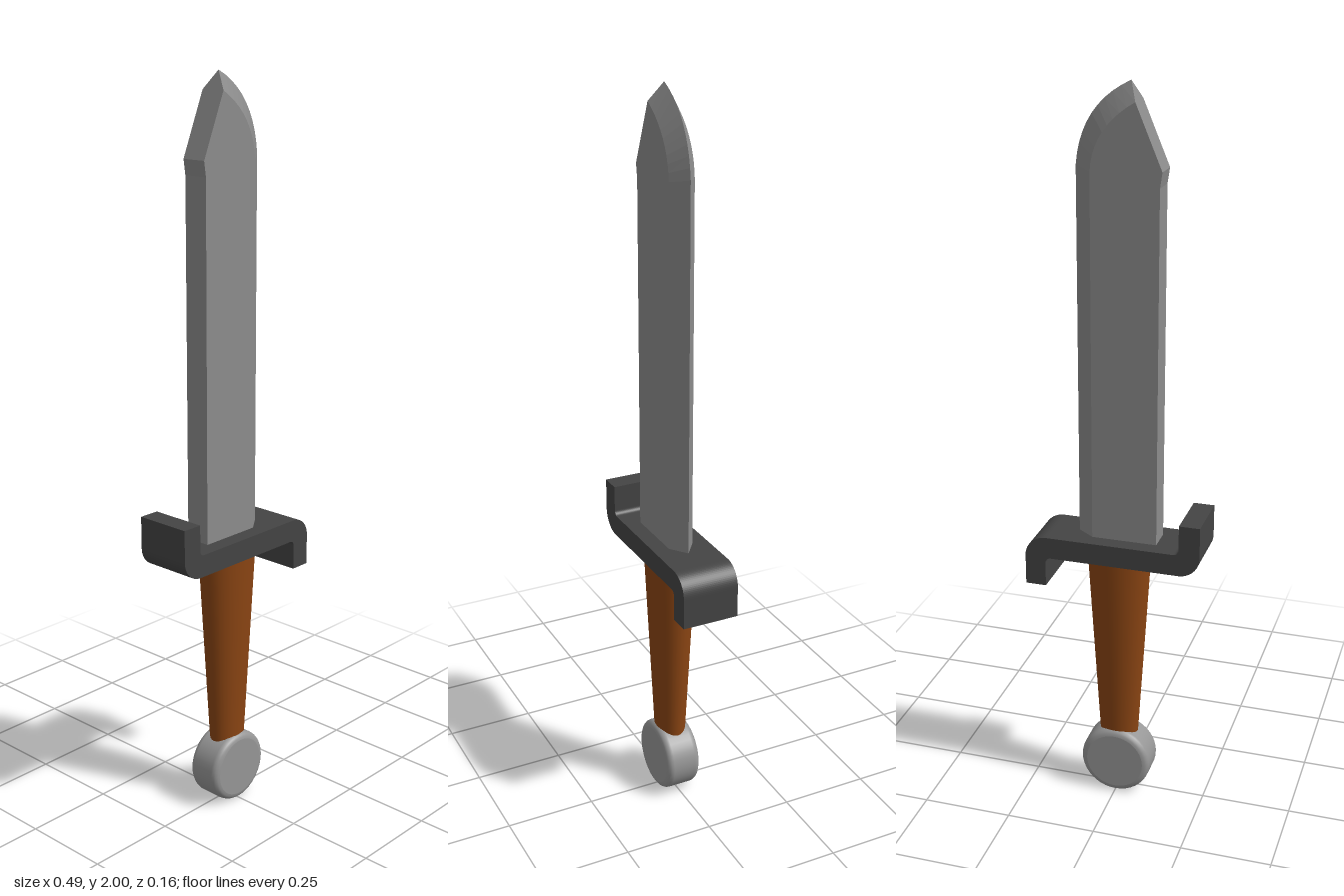
import * as THREE from 'three';

const steel = new THREE.MeshStandardMaterial({ color: 0x8c8c8c });
steel.name = 'steel';
const pommelSteel = new THREE.MeshStandardMaterial({ color: 0x969696 });
pommelSteel.name = 'pommel steel';
const darkIron = new THREE.MeshStandardMaterial({ color: 0x444444 });
darkIron.name = 'dark iron';
const wood = new THREE.MeshStandardMaterial({ color: 0x8b4513 });
wood.name = 'brown grip';

function addMesh(group, name, geometry, material) {
  const mesh = new THREE.Mesh(geometry, material);
  mesh.name = name;
  group.add(mesh);
  return mesh;
}

// Straight run followed by a curve up to the point
function curvedEdge(x, bottom, bend, control, tip) {
  const curve = new THREE.QuadraticBezierCurve(
    new THREE.Vector2(x, bend), new THREE.Vector2(...control), new THREE.Vector2(...tip));
  return [new THREE.Vector2(x, bottom), ...curve.getPoints(10)];
}

// Flat-sided blade: two parallel cheeks, a bevelled cutting edge and a square spine
function bladeGeometry() {
  const half = 0.035, base = 0.76;
  const inner = curvedEdge(0.066, base, 1.78, [0.06, 1.89], [-0.05, 1.953]);
  const edge = curvedEdge(0.113, base, 1.79, [0.1, 1.94], [-0.03, 2]);
  const spine = [[-0.119, 1.79], [-0.113, 1.75], [-0.113, base]].map((p) => new THREE.Vector2(...p));
  const cheek = [...inner, ...spine];
  const pos = [];
  const at = (p, z) => [p.x, p.y, z];
  const tri = (a, b, c) => pos.push(...a, ...b, ...c);
  const quad = (a, b, c, d) => { tri(a, b, c); tri(a, c, d); };

  // Cheeks
  for (const [i, j, k] of THREE.ShapeUtils.triangulateShape(cheek, [])) {
    tri(at(cheek[i], half), at(cheek[j], half), at(cheek[k], half));
    tri(at(cheek[k], -half), at(cheek[j], -half), at(cheek[i], -half));
  }
  // Bevels meeting at the cutting edge
  for (let i = 0; i < inner.length - 1; i++) {
    quad(at(inner[i], half), at(edge[i], 0), at(edge[i + 1], 0), at(inner[i + 1], half));
    quad(at(inner[i + 1], -half), at(edge[i + 1], 0), at(edge[i], 0), at(inner[i], -half));
  }
  // Point, clipped back and spine
  const last = inner.length - 1;
  tri(at(inner[last], half), at(edge[last], 0), at(inner[last], -half));
  for (let i = last; i < cheek.length - 1; i++) {
    quad(at(cheek[i], half), at(cheek[i], -half), at(cheek[i + 1], -half), at(cheek[i + 1], half));
  }
  // Base
  const foot = cheek[cheek.length - 1];
  quad(at(foot, half), at(foot, -half), at(inner[0], -half), at(inner[0], half));
  tri(at(inner[0], half), at(inner[0], -half), at(edge[0], 0));

  const geometry = new THREE.BufferGeometry();
  geometry.setAttribute('position', new THREE.Float32BufferAttribute(pos, 3));
  geometry.computeVertexNormals();
  return geometry;
}

// S-shaped bar with rounded bends, one end up and the other down
function guardGeometry() {
  const y0 = 0.735, y1 = 0.795, out = 0.243, inn = 0.186, R = 0.058, r = 0.014;
  const s = new THREE.Shape();
  s.moveTo(-out, 0.88);
  s.lineTo(-out, y0 + R);
  s.absarc(-out + R, y0 + R, R, Math.PI, Math.PI * 1.5, false);
  s.lineTo(inn - r, y0);
  s.absarc(inn - r, y0 - r, r, Math.PI / 2, 0, true);
  s.lineTo(inn, 0.652);
  s.lineTo(out, 0.652);
  s.lineTo(out, y1 - R);
  s.absarc(out - R, y1 - R, R, 0, Math.PI / 2, false);
  s.lineTo(-inn + r, y1);
  s.absarc(-inn + r, y1 + r, r, Math.PI * 1.5, Math.PI, true);
  s.lineTo(-inn, 0.88);
  s.closePath();
  const geometry = new THREE.ExtrudeGeometry(s, { depth: 0.158, bevelEnabled: false, curveSegments: 10 });
  return geometry.translate(0, 0, -0.079);
}

// Round disc with softened rims, turned to face front and back
function pommelGeometry() {
  const R = 0.1, half = 0.05, b = 0.018;
  const rim = [];
  for (let i = 0; i <= 4; i++) {
    const a = (i / 4) * Math.PI / 2;
    rim.push(new THREE.Vector2(R - b + b * Math.sin(a), -half + b - b * Math.cos(a)));
  }
  const top = rim.map((p) => new THREE.Vector2(p.x, -p.y)).reverse();
  return new THREE.LatheGeometry([...rim, ...top], 40).rotateX(Math.PI / 2);
}

export function createModel() {
  const dagger = new THREE.Group();
  dagger.name = 'dagger';

  addMesh(dagger, 'blade', bladeGeometry(), steel);
  addMesh(dagger, 'guard', guardGeometry(), darkIron);

  // Tapered oval grip
  const grip = addMesh(dagger, 'grip', new THREE.CylinderGeometry(0.089, 0.053, 0.59, 32), wood);
  grip.scale.z = 0.75;
  grip.position.y = 0.455;

  // Pommel with flat caps on both sides
  const pommel = new THREE.Group();
  pommel.name = 'pommel';
  pommel.position.y = 0.1;
  addMesh(pommel, 'pommelRim', pommelGeometry(), pommelSteel);
  for (const side of [1, -1]) {
    const cap = addMesh(pommel, side > 0 ? 'frontCap' : 'backCap', new THREE.CircleGeometry(0.082, 40), pommelSteel);
    cap.position.z = side * 0.05;
    if (side < 0) cap.rotation.y = Math.PI;
  }
  dagger.add(pommel);

  return dagger;
}
